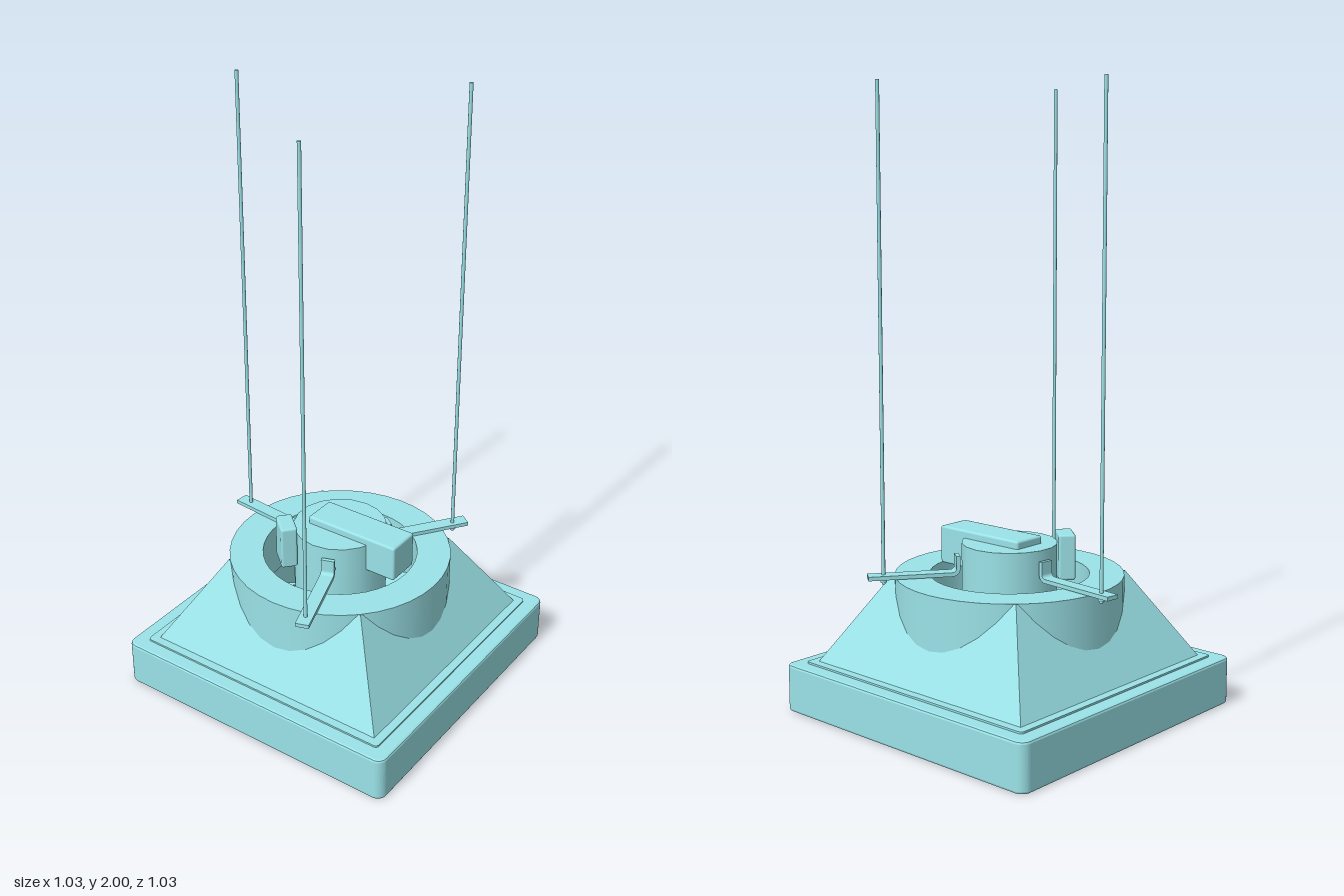
import * as THREE from 'three';
import { RoundedBoxGeometry } from 'three/addons/geometries/RoundedBoxGeometry.js';

const mat = new THREE.MeshStandardMaterial({ color: 0x9be3e8 });
const thinMat = new THREE.MeshStandardMaterial({ color: 0x9be3e8, side: THREE.DoubleSide });
const facetMat = new THREE.MeshStandardMaterial({ color: 0x9be3e8, side: THREE.DoubleSide, flatShading: true });

function add(parent, name, geometry, x = 0, y = 0, z = 0, material = mat) {
  const mesh = new THREE.Mesh(geometry, material);
  mesh.name = name;
  mesh.position.set(x, y, z);
  parent.add(mesh);
  return mesh;
}

// Rounded square outline, half size h, corner radius r
function roundedSquare(h, r, Type = THREE.Shape) {
  const s = new Type();
  s.moveTo(h - r, -h);
  s.absarc(h - r, -h + r, r, -Math.PI / 2, 0);
  s.absarc(h - r, h - r, r, 0, Math.PI / 2);
  s.absarc(-h + r, h - r, r, Math.PI / 2, Math.PI);
  s.absarc(-h + r, -h + r, r, Math.PI, Math.PI * 1.5);
  s.closePath();
  return s;
}

// Flat square frame lying in the ground plane
function squareFrame(outer, inner, radius, height, bevel) {
  const s = roundedSquare(outer - bevel, radius);
  s.holes.push(roundedSquare(inner + bevel, 0.01, THREE.Path));
  const g = new THREE.ExtrudeGeometry(s, {
    depth: height - 2 * bevel, bevelEnabled: bevel > 0, bevelSize: bevel,
    bevelThickness: bevel, bevelSegments: 2, curveSegments: 5,
  });
  g.rotateX(-Math.PI / 2);
  g.translate(0, bevel, 0);
  return g;
}

// Square frustum shell from half size a (bottom) to b (top)
function frustum(a, b, height) {
  const g = new THREE.CylinderGeometry(b * Math.SQRT2, a * Math.SQRT2, height, 4, 1, true);
  g.rotateY(Math.PI / 4);
  return g;
}

// Bent strap: an upright tab turning into a long flat arm along +x
function strapGeometry(length, width) {
  const t = 0.013, up = 0.065, r = 0.025;
  const s = new THREE.Shape();
  s.moveTo(0, up);
  s.lineTo(0, r);
  s.absarc(r, r, r, Math.PI, Math.PI * 1.5);
  s.lineTo(length, 0);
  s.lineTo(length, t);
  s.lineTo(r, t);
  s.absarc(r, r, r - t, Math.PI * 1.5, Math.PI, true);
  s.lineTo(t, up);
  s.closePath();
  const g = new THREE.ExtrudeGeometry(s, { depth: width, bevelEnabled: false, curveSegments: 4 });
  g.translate(0, 0, -width / 2);
  return g;
}

// Slat running along z, bowed toward the middle and tilted
function slatGeometry(width, length, bow) {
  const g = new THREE.BoxGeometry(width, 0.008, length, 1, 1, 6);
  const p = g.attributes.position;
  for (let i = 0; i < p.count; i++) {
    const x = p.getX(i), z = p.getZ(i);
    p.setX(i, x + bow * (Math.abs(z) - length / 2));
    p.setY(i, p.getY(i) + x * 1.1);
  }
  g.computeVertexNormals();
  return g;
}

export function createModel() {
  const model = new THREE.Group();
  model.name = 'suspendedFanUnit';

  // Base frame with a thin raised lip
  add(model, 'baseFrame', squareFrame(0.515, 0.385, 0.025, 0.155, 0.008));
  add(model, 'baseLip', squareFrame(0.465, 0.43, 0.012, 0.008, 0), 0, 0.153, 0);

  // Hood and its round collar
  add(model, 'hood', frustum(0.44, 0.265, 0.295), 0, 0.3025, 0, facetMat);
  const v = (x, y) => new THREE.Vector2(x, y);
  const collar = [[[0.37, 0.27], [0.37, 0.45]], [[0.37, 0.45], [0.258, 0.45]],
    [[0.258, 0.45], [0.258, 0.27]], [[0.258, 0.27], [0.37, 0.27]]];
  const collarGroup = new THREE.Group();
  collarGroup.name = 'collar';
  model.add(collarGroup);
  for (const [a, b] of collar) {
    add(collarGroup, 'collarWall', new THREE.LatheGeometry([v(...a), v(...b)], 40), 0, 0, 0, thinMat);
  }

  // Motor with fan blades below it
  add(model, 'motor', new THREE.CylinderGeometry(0.155, 0.155, 0.3, 18), 0, 0.4, 0);
  const fan = new THREE.Group();
  fan.name = 'fan';
  fan.position.y = 0.3;
  model.add(fan);
  [35, 82, 145, 215, 295].forEach((deg) => {
    const arm = new THREE.Group();
    arm.rotation.y = THREE.MathUtils.degToRad(deg);
    const blade = add(arm, 'fanBlade', new THREE.BoxGeometry(0.13, 0.008, 0.09), 0.2, 0, 0);
    blade.rotation.x = 0.75;
    fan.add(arm);
  });

  // Control housing and capacitor box on the motor
  add(model, 'controlHousing', new RoundedBoxGeometry(0.34, 0.125, 0.118, 2, 0.008), 0.08, 0.513, -0.004);
  const box = add(model, 'capacitorBox', new RoundedBoxGeometry(0.095, 0.15, 0.055, 2, 0.008), -0.125, 0.505, 0.13);
  box.rotation.y = -Math.PI * 0.23;

  // Three straps, each carrying a hanging rod
  const hangers = [
    { from: [-0.16, -0.015], to: [-0.455, -0.042], rod: [-0.41, -0.04] },
    { from: [0.09, -0.14], to: [0.262, -0.378], rod: [0.235, -0.335] },
    { from: [0.06, 0.15], to: [0.155, 0.425], rod: [0.14, 0.385] },
  ];
  for (const { from, to, rod } of hangers) {
    const dx = to[0] - from[0], dz = to[1] - from[1];
    const strap = add(model, 'hangerStrap', strapGeometry(Math.hypot(dx, dz), 0.045), from[0], 0.453, from[1]);
    strap.rotation.y = Math.atan2(-dz, dx);
    add(model, 'hangerRod', new THREE.CylinderGeometry(0.006, 0.006, 1.565, 10), rod[0], 1.2175, rod[1]);
    add(model, 'rodNut', new THREE.CylinderGeometry(0.011, 0.011, 0.012, 6), rod[0], 0.447, rod[1]);
  }

  // Bowed louvre slats across the opening
  for (const x of [-0.33, -0.24, -0.14]) {
    add(model, 'louvreSlat', slatGeometry(0.045, 0.77, -0.36), x, 0.08, 0);
  }
  for (const x of [0.15, 0.25, 0.34]) {
    add(model, 'louvreSlat', slatGeometry(0.045, 0.77, 0.36).scale(1, 1, 1), x, 0.08, 0);
  }
  return model;
}
